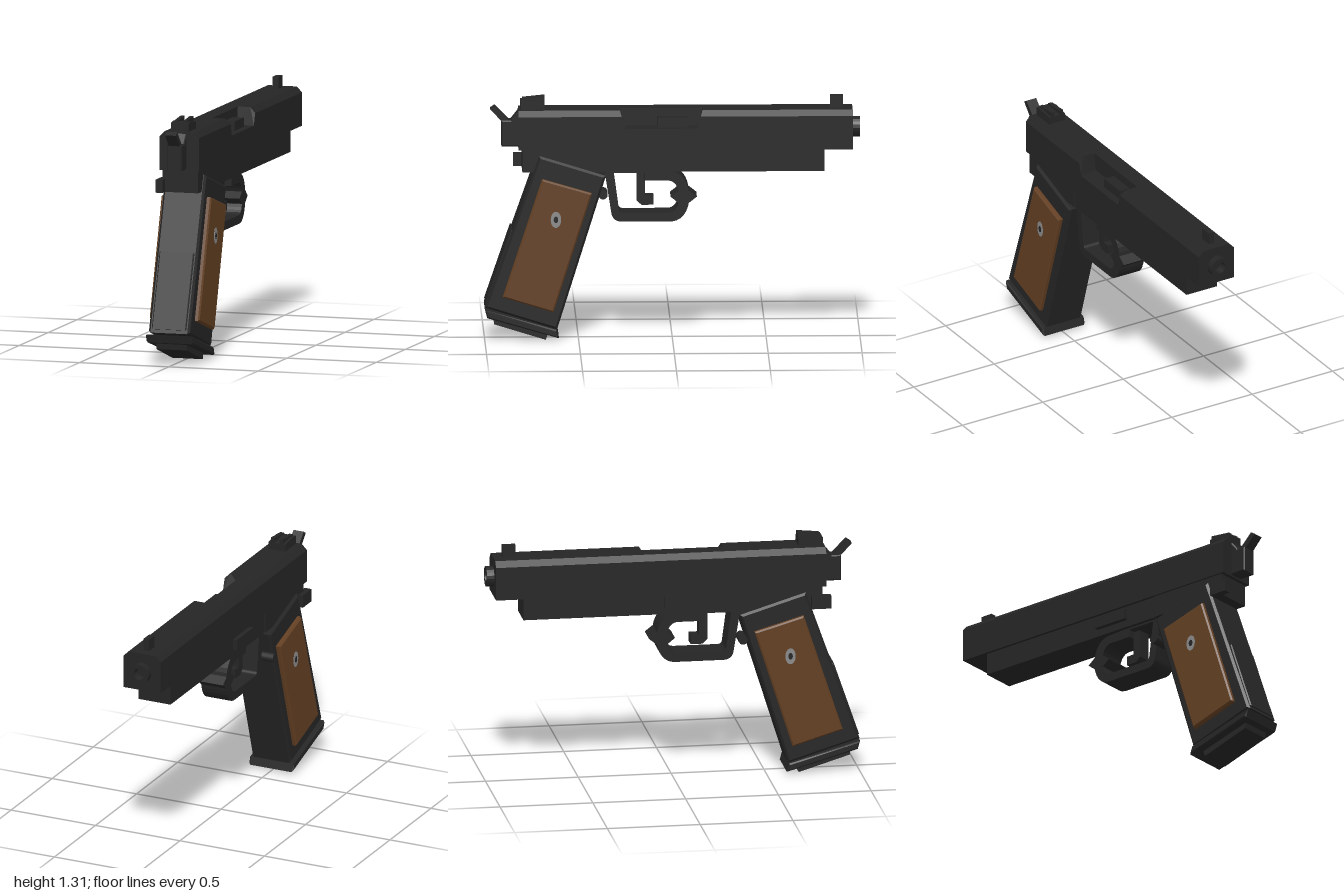
import * as THREE from 'three';

export function createModel() {
  const root = new THREE.Group();
  root.name = 'pistol';
  const mat = (name, color) => Object.assign(new THREE.MeshStandardMaterial({ color }), { name });
  const steel = mat('dark steel', 0x252525);
  const wood = mat('walnut', 0x633f22);
  const silver = mat('silver', 0x8a8a8a);

  const add = (name, geo, m = steel) => {
    const mesh = new THREE.Mesh(geo, m);
    mesh.name = name;
    root.add(mesh);
    return mesh;
  };
  const box = (name, x0, x1, y0, y1, z0, z1, m) =>
    add(name, new THREE.BoxGeometry(x1 - x0, y1 - y0, z1 - z0), m)
      .position.set((x0 + x1) / 2, (y0 + y1) / 2, (z0 + z1) / 2);

  // Side outline given as [z, y] points, extruded across x from x0 to x1
  const sideShape = pts => new THREE.Shape(pts.map(([z, y]) => new THREE.Vector2(-z, y)));
  const across = (shape, x0, x1, bevel = 0) => {
    const geo = new THREE.ExtrudeGeometry(shape, {
      depth: x1 - x0 - 2 * bevel, bevelEnabled: bevel > 0, bevelSize: bevel,
      bevelThickness: bevel, bevelOffset: -bevel, bevelSegments: 1, curveSegments: 14,
    });
    return geo.translate(0, 0, x0 + bevel).rotateY(Math.PI / 2);
  };
  const side = (name, pts, x0, x1, bevel, m) => add(name, across(sideShape(pts), x0, x1, bevel), m);

  // Slide: chamfered section in front of and behind the ejection port
  const along = (pts, z0, z1) => new THREE.ExtrudeGeometry(
    new THREE.Shape(pts.map(p => new THREE.Vector2(...p))),
    { depth: z1 - z0, bevelEnabled: false }).translate(0, 0, z0);
  const section = [[-0.11, 1.03], [0.11, 1.03], [0.11, 1.145], [0.11, 1.21], [0.08, 1.24], [-0.08, 1.24], [-0.11, 1.21]];
  const slopeEnd = (geo, zEnd, dir) => {
    const p = geo.attributes.position;
    for (let i = 0; i < p.count; i++) {
      const rise = Math.max(0, p.getY(i) - 1.145) / 0.095;
      if (Math.abs(p.getZ(i) - zEnd) < 0.001) p.setZ(i, zEnd + dir * 0.03 * rise);
    }
    geo.computeVertexNormals();
    return geo;
  };
  add('slideFront', slopeEnd(along(section, -0.96, -0.13), -0.13, -1));
  add('slideRear', slopeEnd(along(section, 0.25, 0.82), 0.25, 1));
  add('slidePortSection', along([[-0.11, 1.03], [0.11, 1.03], [0.11, 1.145], [0.01, 1.145],
    [0.01, 1.24], [-0.08, 1.24], [-0.11, 1.21]], -0.165, 0.285));
  box('chamberBlock', 0.01, 0.07, 1.14, 1.195, -0.08, 0.08);

  // Muzzle with open bore
  const muzzle = new THREE.LatheGeometry([[0.055, 0], [0.055, 0.05], [0.032, 0.05], [0.026, 0.01], [0, 0.01]]
    .map(p => new THREE.Vector2(...p)), 20).toNonIndexed();
  muzzle.computeVertexNormals();
  const barrel = add('muzzle', muzzle.rotateX(-Math.PI / 2));
  barrel.position.set(0, 1.135, -0.95);
  barrel.material = steel;

  // Sights
  box('frontSight', -0.016, 0.016, 1.235, 1.305, -0.91, -0.84);
  side('rearSightBase', [[0.81, 1.235], [0.81, 1.285], [0.77, 1.29], [0.68, 1.28], [0.68, 1.235]], -0.05, 0.05);
  for (const s of [-1, 1]) {
    const a = s * 0.015, b = s * 0.036;
    side('rearSightPost', [[0.8, 1.28], [0.8, 1.295], [0.68, 1.307], [0.68, 1.27]], Math.min(a, b), Math.max(a, b));
  }

  // Hammer
  side('hammerBody', [[0.8, 1.04], [0.91, 1.04], [0.91, 1.18], [0.86, 1.18], [0.82, 1.23], [0.8, 1.23]], -0.042, 0.042, 0.006);
  side('hammerSpur', [[0.84, 1.17], [0.905, 1.17], [0.97, 1.24], [0.945, 1.256], [0.87, 1.18]], -0.03, 0.03);

  // Frame
  box('dustCover', -0.095, 0.095, 0.91, 1.04, -0.81, 0.333);
  box('rearFrame', -0.1, 0.1, 0.91, 1.04, 0.338, 0.8);
  box('frameCore', -0.09, 0.09, 0.915, 1.04, 0.32, 0.35);
  box('safetyLever', -0.125, -0.085, 0.91, 0.98, 0.74, 0.845);
  box('slideStop', -0.12, -0.085, 0.95, 1.01, -0.05, 0.15);

  // Grip, base and backstrap
  side('grip', [[0.71, 1.0], [0.355, 0.89], [0.615, 0.06], [1.0, 0.18]], -0.115, 0.115, 0.012);
  side('gripBase', [[0.998, 0.17], [0.615, 0.06], [0.603, 0.015], [0.985, 0.125]].map(([z, y]) => [z + 0.002, y]),
    -0.13, 0.13, 0.008);
  side('magazineFloor', [[0.955, 0.125], [0.66, 0.04], [0.675, 0], [0.95, 0.085]], -0.085, 0.085);
  side('backstrap', [[0.83, 0.58], [0.862, 0.6], [0.999, 0.2], [0.96, 0.185]], -0.097, 0.097, 0.006);

  // Wooden panels with medallions on both sides
  const panel = [[0.695, 0.878], [0.43, 0.8], [0.635, 0.157], [0.905, 0.24]];
  for (const s of [-1, 1]) {
    side('gripPanel', panel, s > 0 ? 0.1 : -0.14, s > 0 ? 0.14 : -0.1, 0.008, wood);
    const disc = (name, rz, ry, x, m) => {
      const d = add(name, new THREE.CylinderGeometry(1, 1, 0.004, 20).rotateZ(Math.PI / 2), m);
      d.scale.set(1, ry, rz);
      d.position.set(s * x, 0.66, 0.622);
    };
    disc('medallion', 0.028, 0.044, 0.1395, silver);
    disc('medallionCentre', 0.012, 0.018, 0.1408, steel);
  }

  // Magazine release button
  const button = add('magazineRelease', new THREE.CylinderGeometry(0.025, 0.025, 0.1, 14).rotateZ(Math.PI / 2));
  button.position.set(-0.09, 0.76, 0.367);

  // Trigger guard loop with a pointed front hook
  const guard = new THREE.Shape();
  guard.moveTo(-0.36, 0.9);
  guard.lineTo(-0.325, 0.68);
  guard.quadraticCurveTo(-0.315, 0.637, -0.27, 0.637);
  guard.lineTo(0, 0.637);
  guard.bezierCurveTo(0.12, 0.65, 0.12, 0.89, 0, 0.905);
  guard.lineTo(-0.19, 0.915);
  guard.lineTo(-0.36, 0.915);
  const hole = new THREE.Path();
  hole.moveTo(-0.312, 0.9);
  hole.lineTo(-0.285, 0.7);
  hole.quadraticCurveTo(-0.28, 0.683, -0.26, 0.683);
  hole.lineTo(-0.02, 0.683);
  hole.bezierCurveTo(0.055, 0.69, 0.055, 0.85, -0.02, 0.858);
  hole.lineTo(-0.15, 0.858);
  hole.lineTo(-0.15, 0.9);
  guard.holes.push(hole);
  add('triggerGuard', across(guard, -0.075, 0.075));
  side('guardHook', [[0.01, 0.77], [-0.06, 0.825], [-0.13, 0.77], [-0.06, 0.715]], -0.075, 0.075);

  // Trigger
  side('trigger', [[0.19, 0.91], [0.19, 0.745], [0.165, 0.72], [0.1, 0.72], [0.1, 0.77], [0.145, 0.77], [0.145, 0.91]], -0.035, 0.035);
  return root;
}
